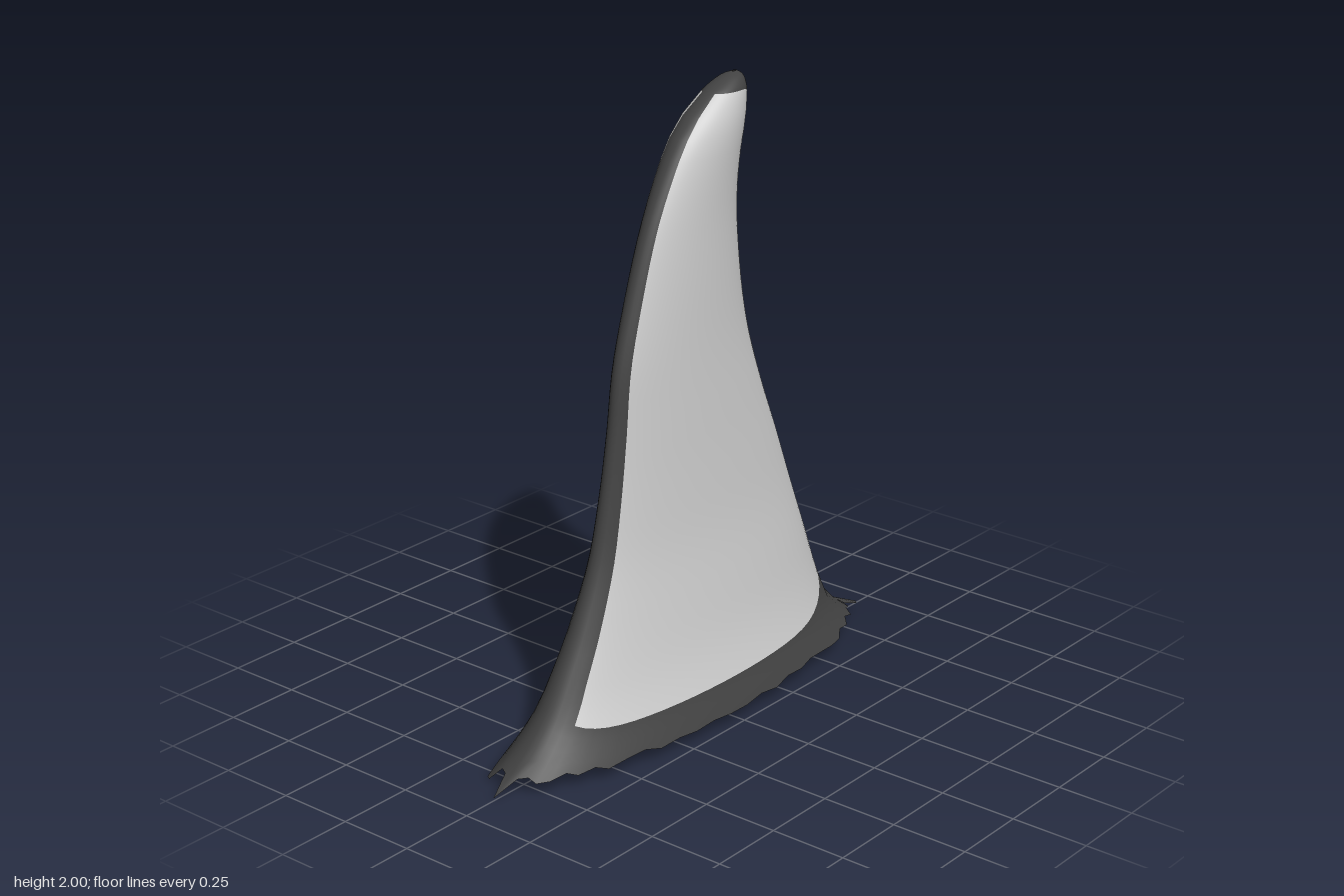
import * as THREE from 'three';

// Profile rows: height, leading edge x, trailing edge x, half thickness
const ROWS = [
  [0, -0.9, 0.9, 0.25], [0.05, -0.81, 0.82, 0.235], [0.13, -0.71, 0.72, 0.203],
  [0.2, -0.65, 0.68, 0.182], [0.28, -0.6, 0.645, 0.163], [0.4, -0.53, 0.6, 0.143],
  [0.6, -0.44, 0.52, 0.115], [0.8, -0.39, 0.44, 0.1], [1, -0.355, 0.355, 0.09],
  [1.2, -0.325, 0.285, 0.084], [1.4, -0.265, 0.245, 0.081], [1.6, -0.19, 0.226, 0.078],
  [1.75, -0.11, 0.235, 0.079], [1.85, -0.04, 0.255, 0.078], [1.92, 0.04, 0.266, 0.067],
  [1.96, 0.11, 0.266, 0.053], [1.99, 0.18, 0.256, 0.03], [2, 0.22, 0.24, 0.006],
];

// Smooth interpolation of one profile column at a height
function profile(y, k) {
  let i = 0;
  while (i < ROWS.length - 2 && y > ROWS[i + 1][0]) i++;
  const slope = (n) => {
    const a = ROWS[Math.max(n - 1, 0)], b = ROWS[Math.min(n + 1, ROWS.length - 1)];
    return (b[k] - a[k]) / (b[0] - a[0]);
  };
  const p = ROWS[i], q = ROWS[i + 1], h = q[0] - p[0], t = (y - p[0]) / h;
  const t2 = t * t, t3 = t2 * t;
  return p[k] * (2 * t3 - 3 * t2 + 1) + q[k] * (3 * t2 - 2 * t3)
    + h * (slope(i) * (t3 - 2 * t2 + t) + slope(i + 1) * (t3 - t2));
}

// Point on the fin: angle 0 is the leading edge, PI the trailing edge
function finPoint(angle, y) {
  const l = profile(y, 1), r = profile(y, 2);
  const lean = 0.01 * Math.min(1, y);
  return [(l + r) / 2 - (r - l) / 2 * Math.cos(angle), y, profile(y, 3) * Math.sin(angle) + lean];
}

function seeded(seed) {
  return () => (seed = (seed * 16807) % 2147483647) / 2147483647;
}

export function createModel() {
  const group = new THREE.Group();
  group.name = 'fin';
  const paleGrey = new THREE.MeshStandardMaterial({ color: 0xcccccc, side: THREE.DoubleSide });
  paleGrey.name = 'paleGrey';
  const darkGrey = new THREE.MeshStandardMaterial({ color: 0x424242, side: THREE.DoubleSide });
  darkGrey.name = 'darkGrey';

  // Columns: a narrow strip round the leading edge, then the rest of the loop
  const STRIP = 0.44, EDGE = 8, REST = 56, COLS = EDGE + REST;
  const SKIRT = 4, BODY = 32, CAP = 8, N = SKIRT + BODY + CAP;
  const rand = seeded(17);
  const positions = [];
  for (let j = 0; j < COLS; j++) {
    const angle = j < EDGE
      ? -STRIP + 2 * STRIP * j / EDGE
      : STRIP + (2 * Math.PI - 2 * STRIP) * (j - EDGE) / REST;
    const c = Math.cos(angle), s = Math.sin(angle);
    const lead = Math.max(c, 0), trail = Math.max(-c, 0);
    // Torn lower rim, painted border of the skirt, and start of the tip cap
    const ragged = (rand() - 0.5) * (0.015 + 0.045 * c ** 6);
    const bottom = j === EDGE + 42 ? 0 : Math.max(0.005, 0.035 + 0.01 * s + ragged);
    const border = 0.135 + 0.14 * trail ** 6 + 0.07 * lead ** 8;
    const top = 1.955 - 0.07 * trail ** 3 * (s < 0.3 ? 1 : 0.4);
    for (let i = 0; i <= N; i++) {
      let y;
      if (i <= SKIRT) y = bottom + (border - bottom) * i / SKIRT;
      else if (i <= SKIRT + BODY) y = border + (top - border) * (i - SKIRT) / BODY;
      else {
        const t = (i - SKIRT - BODY) / CAP;
        y = top + (2 - top) * (1 - (1 - t) ** 2);
      }
      positions.push(...finPoint(angle, y));
    }
  }

  // Faces sorted by colour; shared vertices keep the whole shell smooth
  const pale = [], dark = [];
  for (let j = 0; j < COLS; j++) {
    for (let i = 0; i < N; i++) {
      const a = j * (N + 1) + i, b = ((j + 1) % COLS) * (N + 1) + i;
      const isPale = j >= EDGE && i >= SKIRT && i < SKIRT + BODY;
      (isPale ? pale : dark).push(a, b, b + 1, a, b + 1, a + 1);
    }
  }
  const geometry = new THREE.BufferGeometry();
  geometry.setAttribute('position', new THREE.Float32BufferAttribute(positions, 3));
  geometry.setIndex([...pale, ...dark]);
  geometry.addGroup(0, pale.length, 0);
  geometry.addGroup(pale.length, dark.length, 1);
  geometry.computeVertexNormals();
  const shell = new THREE.Mesh(geometry, [paleGrey, darkGrey]);
  shell.name = 'finShell';
  group.add(shell);

  // Small torn scrap at the trailing end of the rim
  const scrap = new THREE.BufferGeometry();
  scrap.setAttribute('position', new THREE.Float32BufferAttribute([
    0.74, 0.1, 0.03, 0.78, 0.07, 0.06, 0.85, 0.045, 0.06, 0.88, 0.035, 0.035,
  ], 3));
  scrap.setIndex([0, 1, 2, 0, 2, 3]);
  scrap.computeVertexNormals();
  const scrapMesh = new THREE.Mesh(scrap, darkGrey);
  scrapMesh.name = 'rimScrap';
  group.add(scrapMesh);

  return group;
}
